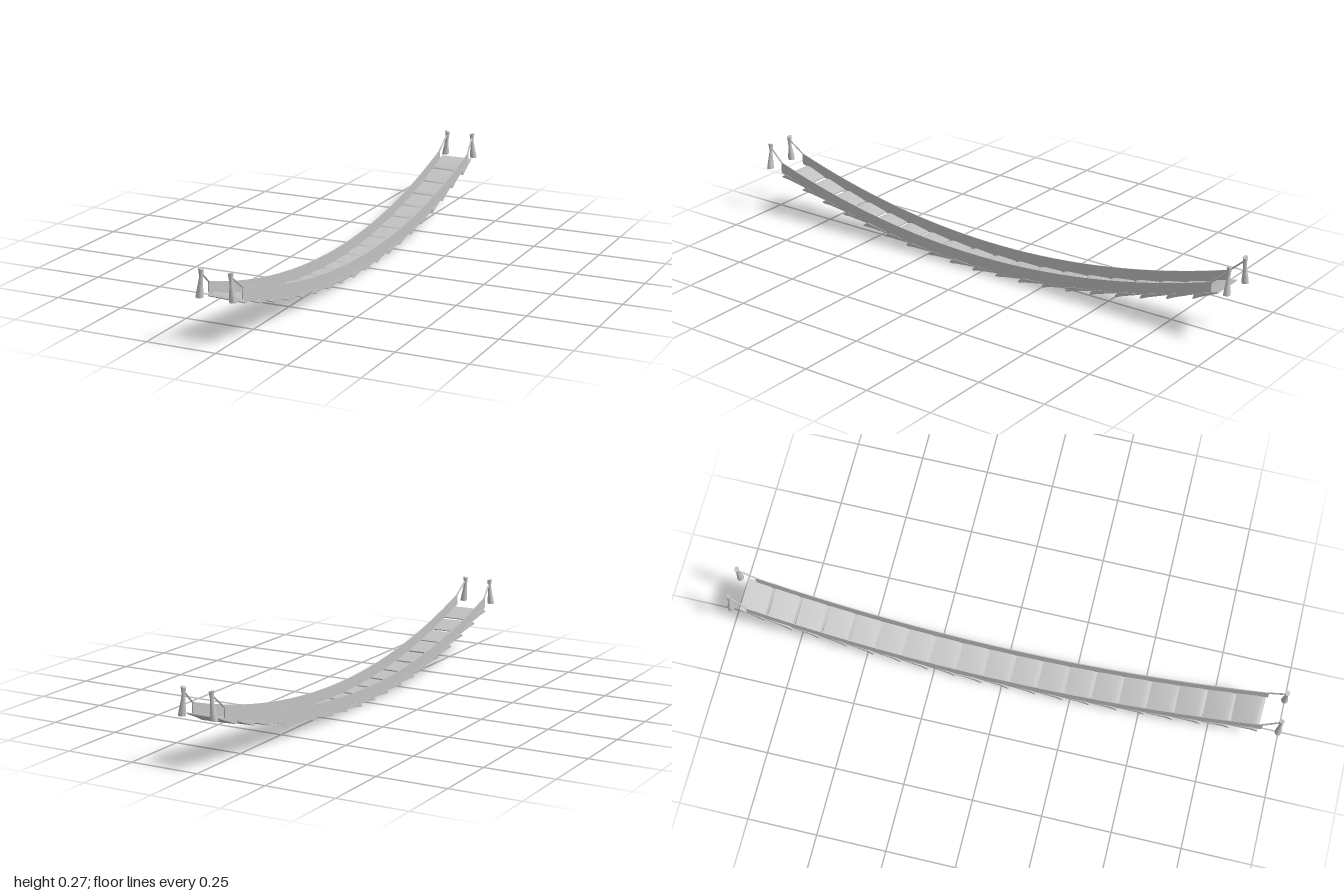
import * as THREE from 'three';
import { toCreasedNormals } from 'three/addons/utils/BufferGeometryUtils.js';

const sag = z => 0.012 + 0.177 * z * z;
const slope = z => Math.atan(0.354 * z);

// Outline in (z, y), extruded along x and centred on it
function extrudeAcross(points, width) {
  const shape = new THREE.Shape(points.map(p => new THREE.Vector2(p[0], p[1])));
  const g = new THREE.ExtrudeGeometry(shape, { depth: width, bevelEnabled: false });
  g.translate(0, 0, -width / 2);
  return g.rotateY(-Math.PI / 2);
}

export function createModel() {
  const grey = new THREE.MeshStandardMaterial({ color: 0xc2c2c2 });
  grey.name = 'weathered grey';
  const bridge = new THREE.Group();
  bridge.name = 'ropeBridge';
  const add = (geometry, name) => {
    const mesh = new THREE.Mesh(geometry, grey);
    mesh.name = name;
    bridge.add(mesh);
    return mesh;
  };

  // Seeded wobble for worn planks
  let seed = 7;
  const wobble = () => {
    seed = (seed * 16807) % 2147483647;
    return seed / 2147483647 - 0.5;
  };

  // Deck planks, each with a drooping lip at its front end
  const count = 19, pitch = 0.099;
  const profile = [[-0.05, 0], [0.02, -0.007], [0.046, -0.011], [0.051, -0.008],
    [0.043, 0.002], [0.028, 0.006], [-0.05, 0.004]];
  for (let i = 0; i < count; i++) {
    const z = -0.911 + i * pitch;
    const g = extrudeAcross(profile, 0.124);
    const p = g.attributes.position;
    const yaw = 0.05 + wobble() * 0.05, shift = wobble() * 0.004;
    for (let k = 0; k < p.count; k++) {
      const x = p.getX(k), s = p.getZ(k);
      const lip = Math.max(0, s) / 0.05;
      p.setX(k, x * (1 + 0.08 * lip) + shift - 0.002 * lip);
      p.setZ(k, s + x * yaw * lip);
      p.setY(k, p.getY(k) - x * 0.035 * lip);
    }
    const plank = add(toCreasedNormals(g, 0.6), 'plank');
    plank.position.set(0, sag(z), z);
    plank.rotation.x = -slope(z);
  }

  // Curved side panels
  const lower = [], upper = [];
  for (let i = 0; i <= 32; i++) {
    const z = -0.93 + i * 1.86 / 32;
    lower.push([z, sag(z)]);
    upper.unshift([z, sag(z) + 0.047 - 0.006 * z * z]);
  }
  for (const side of [-1, 1]) {
    const panel = add(toCreasedNormals(extrudeAcross([...lower, ...upper], 0.003), 0.6), 'sidePanel');
    panel.position.x = side * 0.06;
  }

  // Waisted end posts leaning inward, and the ropes tied to them
  const postProfile = [[0, 0], [0.0135, 0], [0.0125, 0.012], [0.0095, 0.035], [0.0065, 0.06],
    [0.0065, 0.072], [0.0095, 0.094], [0, 0.096]].map(p => new THREE.Vector2(p[0], p[1]));
  for (const side of [-1, 1]) for (const end of [-1, 1]) {
    const g = new THREE.LatheGeometry(postProfile, 14);
    const p = g.attributes.position;
    for (let k = 0; k < p.count; k++) {
      const t = p.getY(k) / 0.096;
      const x = p.getX(k);
      p.setX(k, x - side * 0.0075 * Math.min(1, t * 1.3));
      if (t > 0.9) p.setY(k, p.getY(k) + side * x * 0.3);
    }
    const baseY = end > 0 ? 0.171 : 0.176;
    const post = add(toCreasedNormals(g, 0.7), 'post');
    post.position.set(side * 0.06, baseY, end * 0.988);
    post.scale.z = 0.89;

    const rope = new THREE.LineCurve3(
      new THREE.Vector3(side * 0.053, baseY + 0.08, end * 0.986),
      new THREE.Vector3(side * 0.06, 0.203, end * 0.926));
    add(new THREE.TubeGeometry(rope, 1, 0.003, 8), 'rope');
  }
  return bridge;
}
